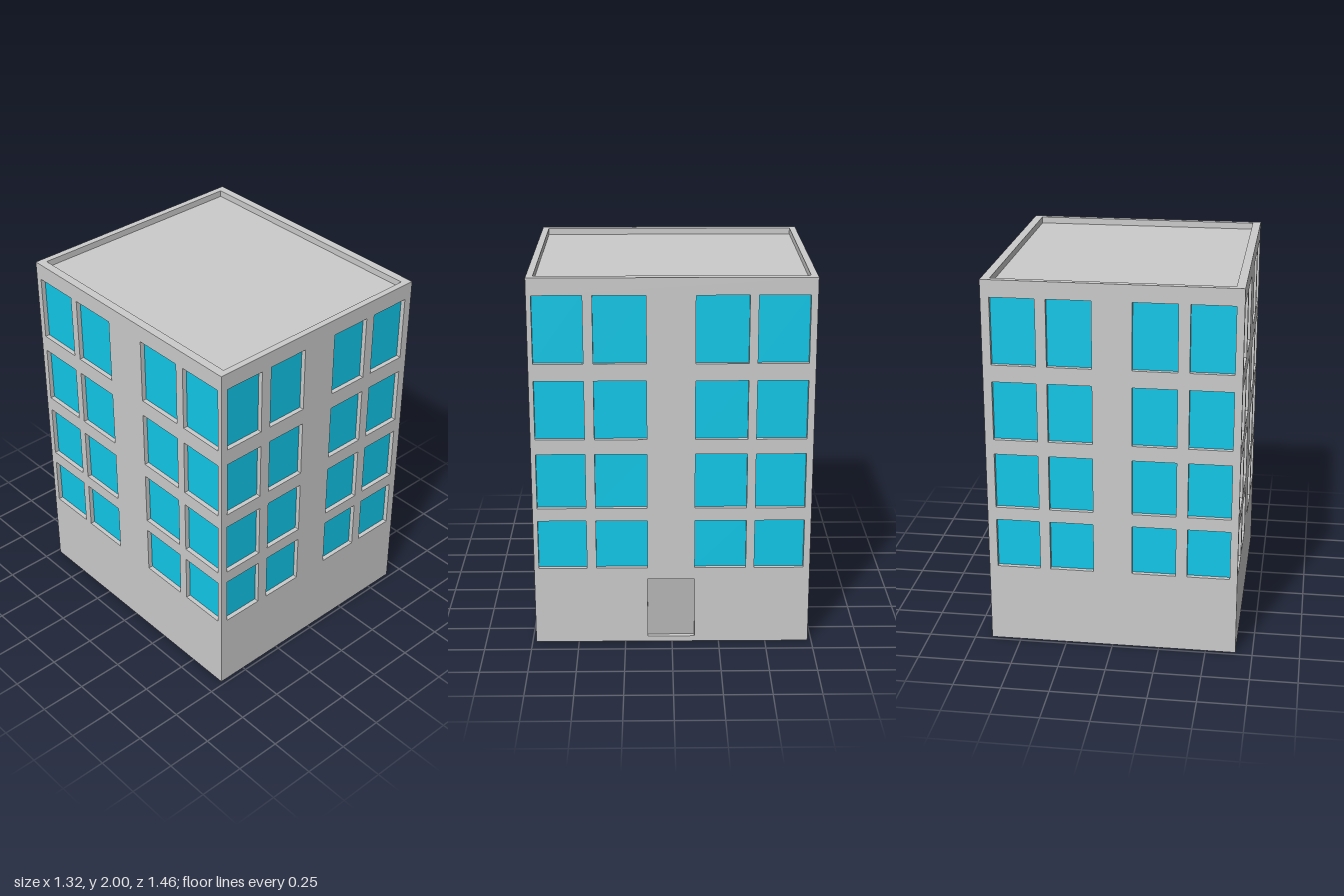
import * as THREE from 'three';
import { mergeGeometries } from 'three/addons/utils/BufferGeometryUtils.js';

const W = 1.32, H = 2, D = 1.46;          // building size
const REVEAL = 0.025;                     // depth of window and door recesses
const PARAPET = 0.035;                    // roof sits this far below the rim

const wallMat = new THREE.MeshStandardMaterial({ color: 0xcccccc });
const glassMat = new THREE.MeshStandardMaterial({ color: 0x10c8e9 });
const doorMat = new THREE.MeshStandardMaterial({ color: 0xb7b7b7 });

// Window grid: [from, to] along each wall and up it
const rows = [[0.43, 0.70], [0.77, 1.07], [1.15, 1.465], [1.555, 1.91]];
const frontCols = [[-0.62, -0.395], [-0.335, -0.105], [0.10, 0.33], [0.385, 0.615]];
const sideCols = [[-0.705, -0.45], [-0.40, -0.13], [0.12, 0.39], [0.435, 0.695]];

const mirrorCols = cols => cols.map(([a, b]) => [-b, -a]);

function windows(cols) {
  return rows.flatMap(([y0, y1]) =>
    cols.map(([x0, x1]) => ({ x0, x1, y0, y1, name: 'windowPane', mat: glassMat })));
}

function rectPoints(x0, x1, y0, y1) {
  return [[x0, y0], [x1, y0], [x1, y1], [x0, y1]].map(p => new THREE.Vector2(...p));
}

// Four inward-facing strips lining a recess
function recessSides({ x0, x1, y0, y1 }, depth) {
  const w = x1 - x0, h = y1 - y0;
  return [0, 1, 2, 3].map(i => {
    const [len, off] = i % 2 ? [h, w / 2] : [w, h / 2];
    return new THREE.PlaneGeometry(len, depth)
      .rotateX(-Math.PI / 2)
      .translate(0, -off, -depth / 2)
      .rotateZ(i * Math.PI / 2)
      .translate((x0 + x1) / 2, (y0 + y1) / 2, 0);
  });
}

// Flat face with recesses, each closed by a pane at its back
function panel(name, x0, x1, y0, y1, recesses, depth) {
  const group = new THREE.Group();
  group.name = name;
  const shape = new THREE.Shape(rectPoints(x0, x1, y0, y1));
  for (const r of recesses) {
    shape.holes.push(new THREE.Path(rectPoints(r.x0, r.x1, r.y0, r.y1)));
  }
  const parts = [new THREE.ShapeGeometry(shape)];
  for (const r of recesses) {
    parts.push(...recessSides(r, depth));
    const pane = new THREE.Mesh(new THREE.PlaneGeometry(r.x1 - r.x0, r.y1 - r.y0), r.mat);
    pane.position.set((r.x0 + r.x1) / 2, (r.y0 + r.y1) / 2, -depth);
    pane.name = r.name;
    group.add(pane);
  }
  const face = new THREE.Mesh(mergeGeometries(parts), wallMat);
  face.name = name + 'Surface';
  group.add(face);
  return group;
}

export function createModel() {
  const building = new THREE.Group();
  building.name = 'building';

  // Walls, with the door on the left side
  const door = { x0: -0.13, x1: 0.12, y0: 0.03, y1: 0.365, name: 'door', mat: doorMat };
  const walls = [
    ['frontWall', W, D, windows(frontCols)],
    ['leftWall', D, W, [...windows(sideCols), door]],
    ['backWall', W, D, windows(mirrorCols(frontCols))],
    ['rightWall', D, W, windows(mirrorCols(sideCols))],
  ];
  walls.forEach(([name, width, gap, recesses], i) => {
    const wall = panel(name, -width / 2, width / 2, 0, H, recesses, REVEAL);
    const angle = i * Math.PI / 2;
    wall.rotation.y = angle;
    wall.position.set(Math.sin(angle) * gap / 2, 0, Math.cos(angle) * gap / 2);
    building.add(wall);
  });

  // Parapet rim around a sunken roof
  const roofRecess = { x0: -0.615, x1: 0.615, y0: -0.695, y1: 0.695, name: 'roof', mat: wallMat };
  const parapet = panel('parapet', -W / 2, W / 2, -D / 2, D / 2, [roofRecess], PARAPET);
  parapet.rotation.x = -Math.PI / 2;
  parapet.position.y = H;
  building.add(parapet);

  // Underside
  const base = panel('base', -W / 2, W / 2, -D / 2, D / 2, [], 0);
  base.rotation.x = Math.PI / 2;
  building.add(base);

  return building;
}
